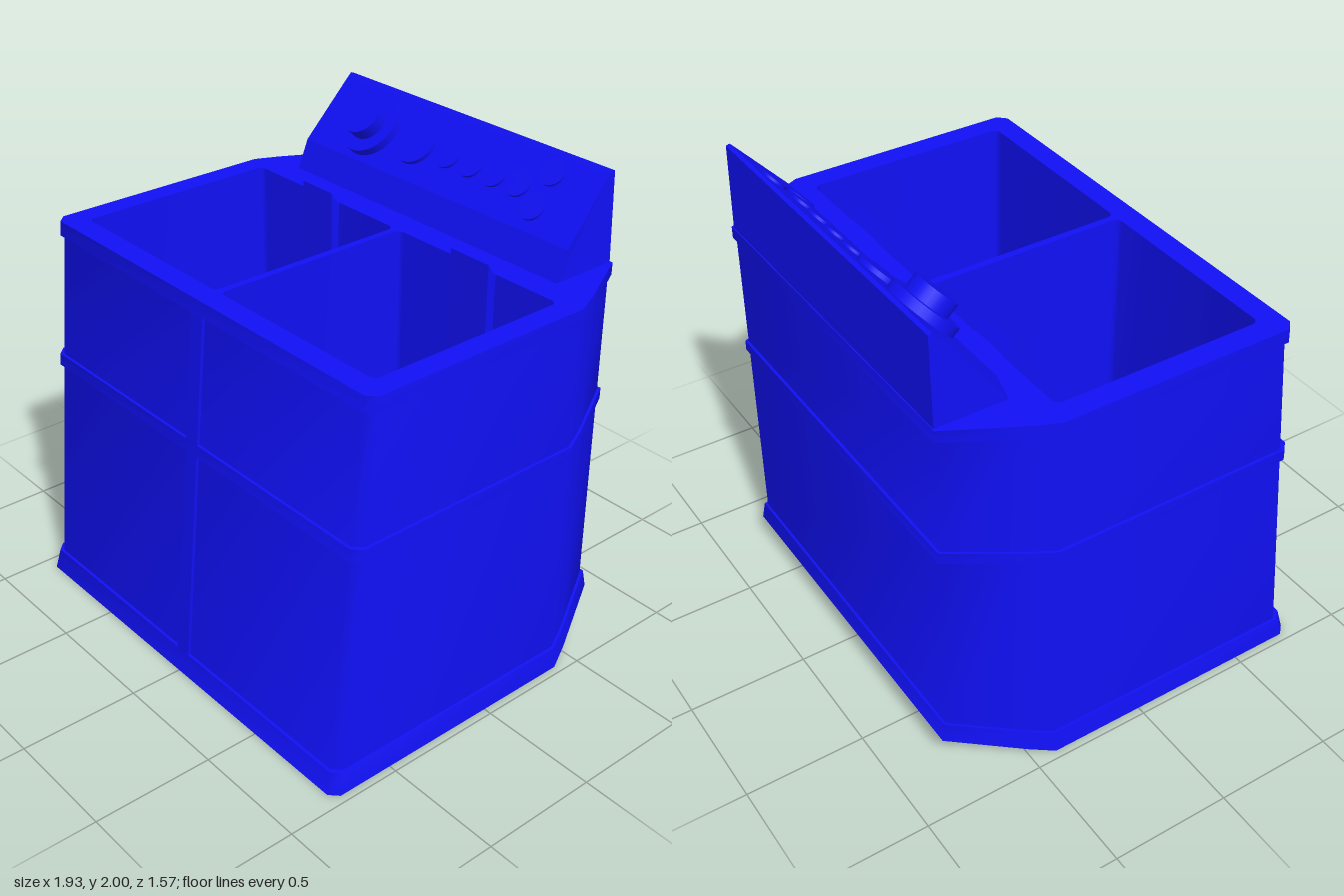
import * as THREE from 'three';
import { toCreasedNormals } from 'three/addons/utils/BufferGeometryUtils.js';

const blue = new THREE.MeshStandardMaterial({ color: 0x1010f4 });
const TOP = 1.62;
const frontZ = (y) => 0.765 - 0.0955 * y; // the front leans back

// Outer plan at height y, grown by off, with the back lifted by rise
function outline(y, off, rise) {
  const f = frontZ(y) + off, w = 0.955 + off, b = -0.78 - off;
  const half = [[w - 0.035, f], [w, f - 0.035], [w, -0.4], [w - 0.045, -0.5], [0.76 + off * 0.6, b]];
  const all = [...half, ...half.slice().reverse().map(([x, z]) => [-x, z])];
  return all.map(([x, z]) => new THREE.Vector3(x, y + rise * Math.max(0, (-0.4 - z) / 0.38), z));
}

function fromTriangles(points, index) {
  const g = new THREE.BufferGeometry().setFromPoints(points);
  g.setIndex(index);
  return toCreasedNormals(g, 1.15);
}

// Skin between closed rings (counter-clockwise from above faces outward)
function loft(rings) {
  const n = rings[0].length, index = [];
  for (let r = 0; r < rings.length - 1; r++) {
    for (let i = 0; i < n; i++) {
      const a = r * n + i, b = r * n + (i + 1) % n;
      index.push(a, b, b + n, a, b + n, a + n);
    }
  }
  return fromTriangles(rings.flat(), index);
}

function roundedRect(x0, x1, z0, z1, r) {
  const s = new THREE.Shape(), a = -z1, b = -z0;
  s.absarc(x1 - r, a + r, r, -Math.PI / 2, 0);
  s.absarc(x1 - r, b - r, r, 0, Math.PI / 2);
  s.absarc(x0 + r, b - r, r, Math.PI / 2, Math.PI);
  s.absarc(x0 + r, a + r, r, Math.PI, Math.PI * 1.5);
  return s.getPoints(5).slice(0, -1);
}

// Side profile [z, y] extruded across x0..x1
function sideExtrude(profile, x0, x1) {
  const s = new THREE.Shape(profile.map(([z, y]) => new THREE.Vector2(-z, y)));
  const g = new THREE.ExtrudeGeometry(s, { depth: x1 - x0, bevelEnabled: false });
  return g.rotateY(Math.PI / 2).translate(x0, 0, 0);
}

export function createModel() {
  const model = new THREE.Group();
  const add = (name, geometry, parent = model) => {
    const m = new THREE.Mesh(geometry, blue);
    m.name = name;
    parent.add(m);
    return m;
  };

  // Cabinet walls with raised bands at the base, middle and rim
  const s = -0.012;
  const levels = [
    [0, 0.012, 0.11], [0.09, 0, 0.1], [0.09, s, 0.1],
    [0.99, s, 0.04], [0.99, 0, 0.04], [1.04, 0, 0.035], [1.04, s, 0.035],
    [1.56, s, 0.01], [1.56, 0, 0.01], [TOP, 0, 0],
  ];
  const rings = levels.map((l) => outline(...l));
  add('cabinet', loft(rings));

  // Underside, flat with a rising rear
  const base = [...rings[0], new THREE.Vector3(0.7, 0, -0.53), new THREE.Vector3(-0.7, 0, -0.53)];
  // Ring order: 0 front +x ... 4 back +x, 5 back -x ... 9 front -x
  const flat = [9, 0, 1, 2, 10, 11, 7, 8], under = [];
  for (let i = 1; i < flat.length - 1; i++) under.push(flat[0], flat[i + 1], flat[i]);
  under.push(2, 10, 3, 3, 10, 4, 10, 5, 4, 10, 11, 5, 11, 6, 5, 11, 7, 6);
  add('underside', fromTriangles(base, under));

  // Post down the middle of the front
  const post = [[frontZ(0.05) - 0.03, 0.05], [frontZ(0.05), 0.05], [frontZ(1.6), 1.6], [frontZ(1.6) - 0.03, 1.6]];
  add('frontPost', sideExtrude(post, -0.03, 0.04));

  // Rim with two tubs sunk into it
  const rim = new THREE.Shape(rings.at(-1).map((p) => new THREE.Vector2(p.x, -p.z)));
  const floorY = 0.15;
  for (const [name, x0, x1] of [['rightTub', -0.86, -0.015], ['leftTub', 0.015, 0.86]]) {
    const pts = roundedRect(x0, x1, -0.365, 0.515, 0.03);
    rim.holes.push(new THREE.Path(pts));
    const ringAt = (y) => pts.map((p) => new THREE.Vector3(p.x, y, -p.y)).reverse();
    const tub = new THREE.Group();
    tub.name = name;
    model.add(tub);
    add('tubWall', loft([ringAt(floorY), ringAt(TOP)]), tub);
    add('tubFloor', new THREE.ShapeGeometry(new THREE.Shape(pts)).rotateX(-Math.PI / 2).translate(0, floorY, 0), tub);
  }
  add('rim', new THREE.ShapeGeometry(rim).rotateX(-Math.PI / 2).translate(0, TOP, 0));

  // Upright ribs on the back wall of each tub, with pointed tops
  const rib = [[-0.37, floorY], [-0.325, floorY], [-0.325, 1.67], [-0.36, TOP], [-0.37, TOP]];
  add('rightRib', sideExtrude(rib, -0.53, -0.35));
  add('leftRib', sideExtrude(rib, 0.35, 0.55));

  // Sloping control panel, narrowing towards the top
  const profile = [[-0.775, TOP - 0.02], [-0.48, TOP - 0.02], [-0.48, TOP], [-0.53, 1.74], [-0.745, 1.975], [-0.76, 1.99], [-0.775, 1.985]];
  const panel = sideExtrude(profile, -0.75, 0.75);
  const pos = panel.attributes.position;
  for (let i = 0; i < pos.count; i++) {
    pos.setX(i, pos.getX(i) * (1 - 0.085 * Math.max(0, pos.getY(i) - 1.74)));
  }
  panel.computeVertexNormals();
  add('controlPanel', panel);

  // Dials and buttons: local y points out of the slope, -z runs up it
  const slope = new THREE.Group();
  slope.name = 'controls';
  slope.position.set(0, 1.74, -0.53);
  slope.rotation.x = Math.atan2(0.215, 0.235) + 0.083;
  model.add(slope);
  const knob = (name, x, up, r, from, to) =>
    add(name, new THREE.CylinderGeometry(r, r, to - from, 32).translate(x, (from + to) / 2, -up), slope);
  knob('mainDialBase', -0.45, 0.163, 0.14, -0.02, 0.04);
  knob('mainDialCap', -0.45, 0.167, 0.09, 0.03, 0.1);
  knob('secondDial', -0.185, 0.165, 0.1, -0.02, 0.02);
  for (const x of [0, 0.128, 0.257, 0.386]) knob('button', x, 0.163, 0.058, -0.02, 0.012);
  knob('upperButton', 0.503, 0.25, 0.058, -0.02, 0.012);
  knob('lowerButton', 0.503, 0.1, 0.058, -0.02, 0.012);

  return model;
}
